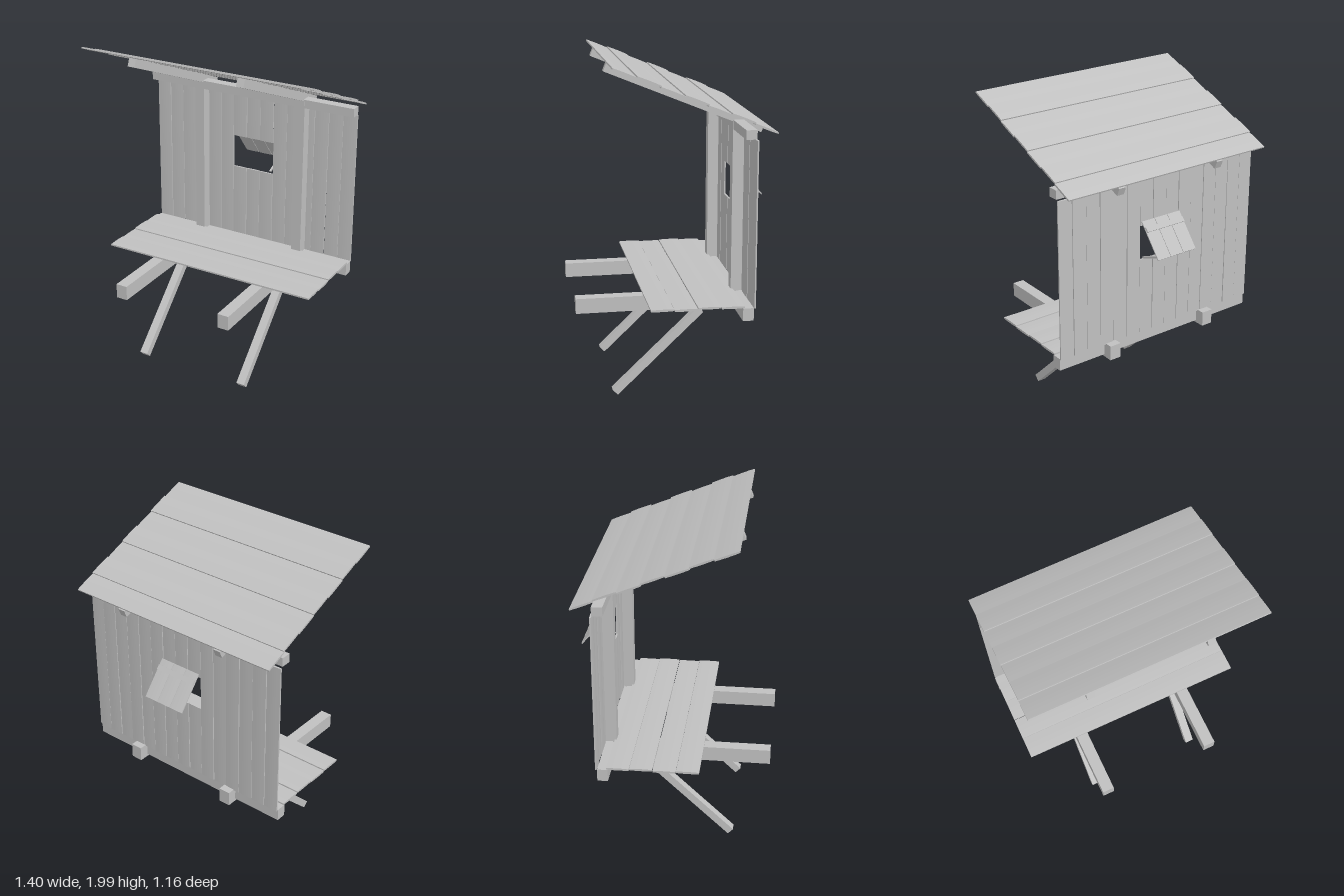
import * as THREE from 'three';

const wood = new THREE.MeshStandardMaterial({ color: 0xc0c0c0 });
wood.name = 'pale grey wood';

function add(parent, name, geometry, x, y, z) {
  const mesh = new THREE.Mesh(geometry, wood);
  mesh.name = name;
  mesh.position.set(x, y, z);
  parent.add(mesh);
  return mesh;
}

// Board lying along x, its faces slightly crowned across the width
function plankGeometry(length, width, thick) {
  const g = new THREE.BoxGeometry(length, thick, width, 1, 1, 4);
  const p = g.attributes.position;
  for (let i = 0; i < p.count; i++) {
    const t = (2 * p.getZ(i)) / width;
    p.setY(i, p.getY(i) * (1 - 0.3 * t * t));
  }
  g.computeVertexNormals();
  return g;
}

// The same board standing upright and facing z
const uprightGeometry = (length, width, thick) =>
  plankGeometry(length, width, thick).rotateX(Math.PI / 2).rotateZ(Math.PI / 2);

// Square timber between two [z, y] points
function timber(parent, name, x, a, b, width, thick) {
  const dz = b[0] - a[0], dy = b[1] - a[1];
  const g = new THREE.BoxGeometry(width, thick, Math.hypot(dz, dy));
  const mesh = add(parent, name, g, x, (a[1] + b[1]) / 2, (a[0] + b[0]) / 2);
  mesh.rotation.x = -Math.atan2(dy, dz);
  return mesh;
}

function group(parent, name) {
  const g = new THREE.Group();
  g.name = name;
  parent.add(g);
  return g;
}

export function createModel() {
  const model = new THREE.Group();
  model.name = 'lean-to hut';

  // Frame: bearers, braces, posts and rafters on both sides
  const frame = group(model, 'frame');
  for (const x of [-0.35, 0.35]) {
    timber(frame, 'floorBearer', x, [-0.46, 0.58], [0.58, 0.58], 0.072, 0.09);
    timber(frame, 'brace', x, [-0.159, 0.515], [0.355, 0.024], 0.052, 0.045);
    add(frame, 'post', new THREE.BoxGeometry(0.062, 1.02, 0.066), x, 1.13, -0.37);
    timber(frame, 'rafter', x, [-0.514, 1.593], [0.393, 1.962], 0.046, 0.05);
  }
  add(frame, 'bottomRail', new THREE.BoxGeometry(1.4, 0.075, 0.062), 0, 0.587, -0.37);
  add(frame, 'topRail', new THREE.BoxGeometry(1.4, 0.053, 0.062), 0, 1.62, -0.37);

  // Floor boards, every second one lying a little higher
  const floor = group(model, 'floor');
  for (let i = 0; i < 4; i++) {
    add(floor, 'floorBoard', plankGeometry(1.4, 0.132, 0.014),
      0, i % 2 ? 0.633 : 0.638, 0.122 - i * 0.135);
  }

  // Roof boards on the slope, every second one raised
  const roof = group(model, 'roof');
  roof.position.set(0, 1.81, -0.065);
  roof.rotation.x = -Math.atan2(0.37, 0.907);
  for (let i = 0; i < 7; i++) {
    add(roof, 'roofBoard', plankGeometry(1.4, 0.141, 0.012),
      0, i % 2 ? 0.007 : 0, (3 - i) * 0.14);
  }

  // Wall boards, with the middle three cut for the window
  const wall = group(model, 'backWall');
  const pitch = 1.4 / 15;
  for (let i = 0; i < 15; i++) {
    const x = (i - 7) * pitch;
    const top = 1.583 + 0.003 * Math.sin(i * 2.3);
    const spans = Math.abs(i - 7) < 2 ? [[0.62, 1.09], [1.3, top]] : [[0.62, top]];
    for (const [y0, y1] of spans) {
      const board = add(wall, 'wallBoard', uprightGeometry(y1 - y0, pitch - 0.003, 0.012),
        x, (y0 + y1) / 2, -0.408 - 0.002 * (i % 2));
      if (spans.length === 1) board.rotation.z = 0.002 * Math.sin(i * 4.1);
    }
  }

  // Window shutter propped open behind the wall
  const shutter = group(model, 'shutter');
  shutter.position.set(0, 1.33, -0.423);
  shutter.rotation.x = Math.atan2(0.152, 0.185);
  for (const i of [-1, 0, 1]) {
    add(shutter, 'shutterBoard', uprightGeometry(0.24, 0.09, 0.009), i * 0.0925, -0.12, 0);
  }
  add(shutter, 'shutterBatten', new THREE.BoxGeometry(0.27, 0.03, 0.009), 0, -0.055, -0.008);
  timber(model, 'propStick', 0.118, [-0.562, 1.157], [-0.414, 1.1], 0.011, 0.011);

  return model;
}
